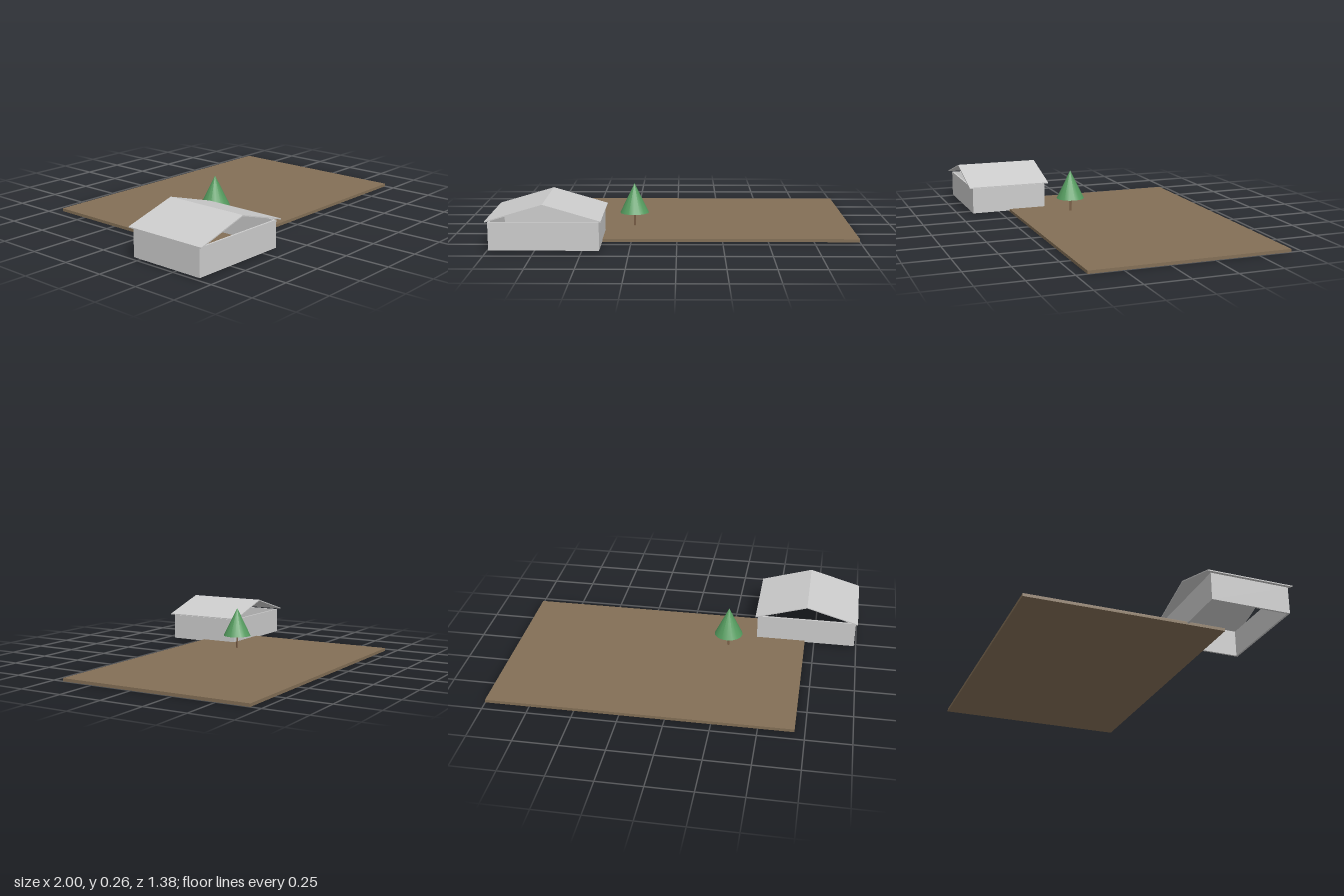
import * as THREE from 'three';

export function createModel() {
  const model = new THREE.Group();
  const soil = new THREE.MeshStandardMaterial({ color: 0x836f56 });
  const grey = new THREE.MeshStandardMaterial({ color: 0xcccccc });
  const green = new THREE.MeshStandardMaterial({ color: 0x559c5f });
  const bark = new THREE.MeshStandardMaterial({ color: 0x7d6148 });
  soil.name = 'soil brown';
  grey.name = 'light grey';
  green.name = 'leaf green';
  bark.name = 'bark brown';

  const add = (parent, name, geometry, material, x, y, z) => {
    const mesh = new THREE.Mesh(geometry, material);
    mesh.name = name;
    mesh.position.set(x, y, z);
    parent.add(mesh);
    return mesh;
  };

  // Ground slab
  add(model, 'ground', new THREE.BoxGeometry(1.695, 0.017, 1.13), soil, 0.1525, 0.0085, -0.125);

  // House: four thin walls, open underneath and at the gables
  const house = new THREE.Group();
  house.name = 'house';
  house.position.set(-0.697, 0, 0.442);
  model.add(house);
  const bottom = 0.008, top = 0.16, wall = 0.011;
  const height = top - bottom, midY = (top + bottom) / 2;
  for (const s of [-1, 1]) {
    add(house, s > 0 ? 'frontWall' : 'backWall',
      new THREE.BoxGeometry(0.57, height, wall), grey, 0, midY, s * 0.2195);
    add(house, s > 0 ? 'leftWall' : 'rightWall',
      new THREE.BoxGeometry(wall, height, 0.45), grey, s * 0.2855, midY, 0);
  }

  // Roof: a thin folded sheet running front to back
  const half = 0.303, eave = 0.163, ridge = 0.258, thick = 0.006;
  const section = new THREE.Shape([
    [-half, eave], [0, ridge - thick], [half, eave],
    [half, eave + thick], [0, ridge], [-half, eave + thick],
  ].map(([x, y]) => new THREE.Vector2(x, y)));
  const roof = new THREE.ExtrudeGeometry(section, { depth: 0.492, bevelEnabled: false });
  add(house, 'roof', roof, grey, 0, 0, -0.246);

  // Tree
  const tree = new THREE.Group();
  tree.name = 'tree';
  tree.position.set(-0.246, 0, 0.102);
  model.add(tree);
  add(tree, 'trunk', new THREE.CylinderGeometry(0.006, 0.006, 0.085, 8), bark, 0, 0.0565, 0);
  add(tree, 'foliage', new THREE.ConeGeometry(0.083, 0.17, 16), green, 0, 0.179, 0);

  return model;
}
